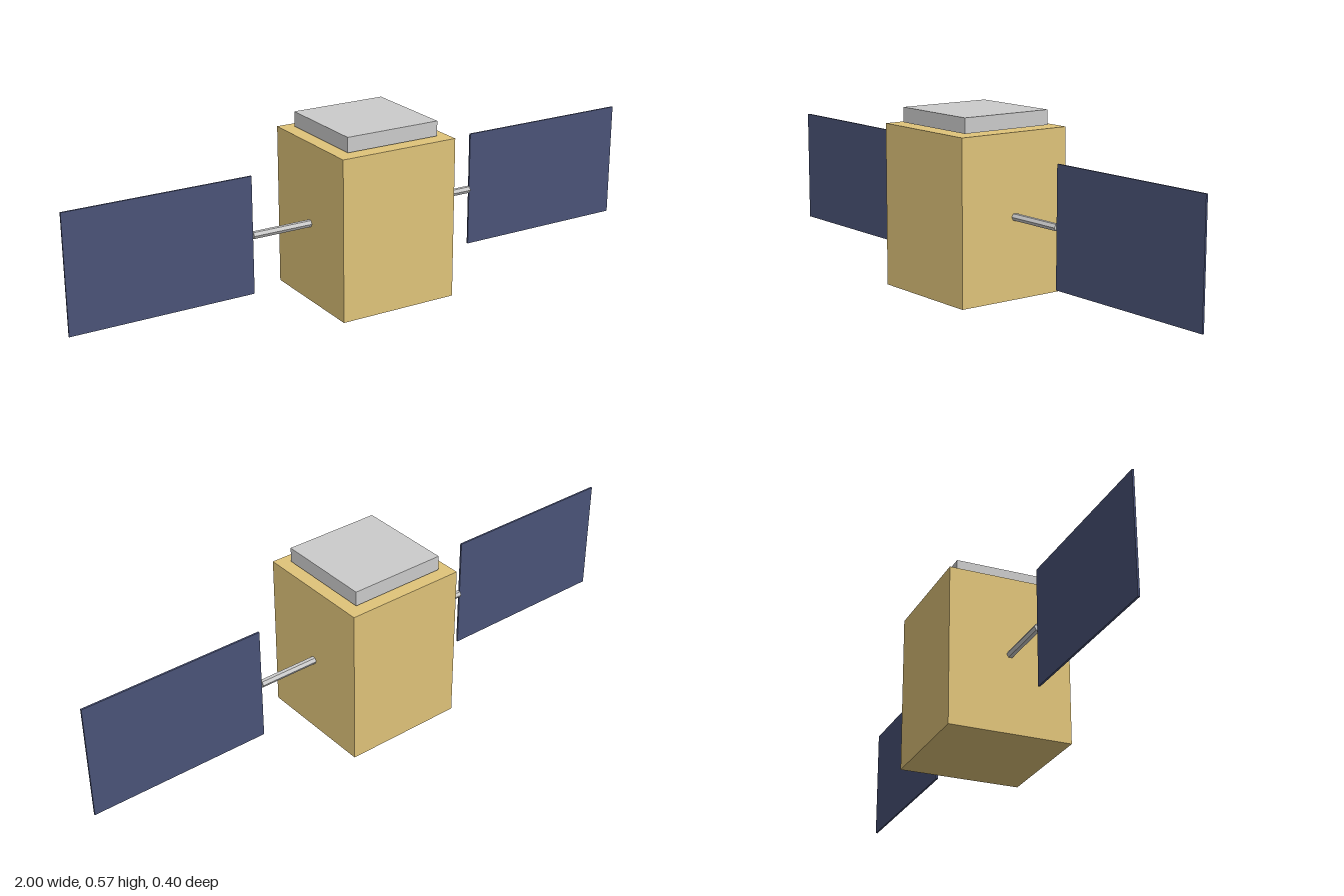
import * as THREE from 'three';

const material = (color) => new THREE.MeshStandardMaterial({ color, flatShading: true });

export function createModel() {
  const model = new THREE.Group();
  model.name = 'satellite';

  const gold = material(0xe0c47a);
  const blue = material(0x4a5378);
  const grey = material(0xcccccc);

  const add = (name, geometry, mat, x, y, z = 0) => {
    const mesh = new THREE.Mesh(geometry, mat);
    mesh.name = name;
    mesh.position.set(x, y, z);
    model.add(mesh);
    return mesh;
  };

  // Main body and the plate floating just above it
  add('body', new THREE.BoxGeometry(0.4, 0.521, 0.4), gold, 0, 0.2605);
  add('topPlate', new THREE.BoxGeometry(0.32, 0.048, 0.32), grey, 0, 0.549);

  // Hexagonal boom and solar panel on each side
  const boomGeometry = new THREE.CylinderGeometry(0.012, 0.012, 0.2, 6).rotateZ(Math.PI / 2);
  const panelGeometry = new THREE.BoxGeometry(0.6, 0.38, 0.006);
  for (const [side, s] of [['left', 1], ['right', -1]]) {
    add(side + 'Boom', boomGeometry, grey, s * 0.3, 0.2605);
    add(side + 'SolarPanel', panelGeometry, blue, s * 0.7, 0.2605);
  }

  return model;
}
